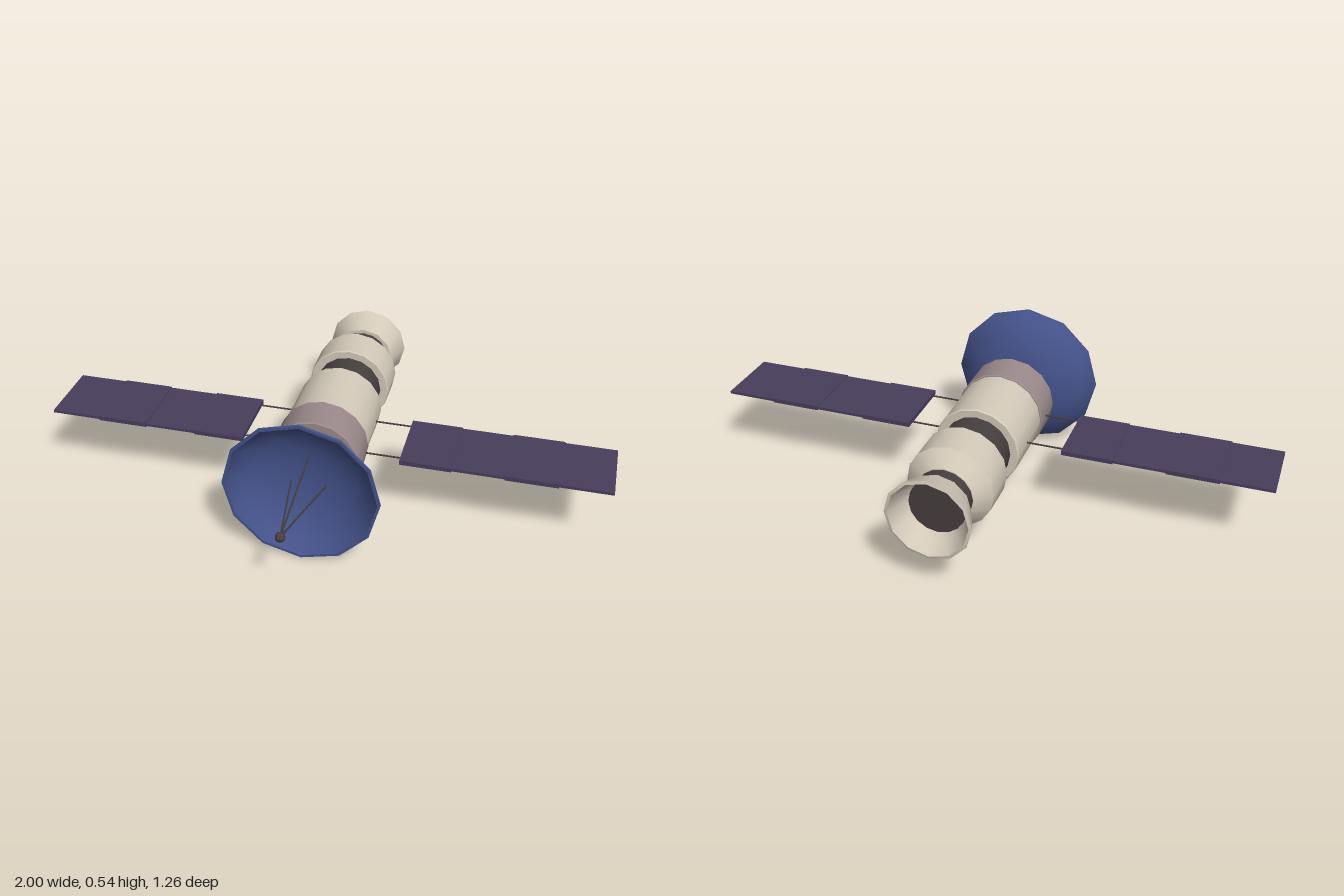
import * as THREE from 'three';
import { toCreasedNormals } from 'three/addons/utils/BufferGeometryUtils.js';

const AXIS_Y = 0.275;

function mat(name, color) {
  const m = new THREE.MeshStandardMaterial({ color });
  m.name = name;
  return m;
}

export function createModel() {
  const model = new THREE.Group();
  model.name = 'spacecraft';
  const cream = mat('cream hull', 0xd2c9b8);
  const mauve = mat('mauve band', 0x9a898a);
  const dark = mat('dark metal', 0x453f3e);
  const blue = mat('blue dish', 0x44528a);
  const violet = mat('violet solar cell', 0x473d5c);

  const add = (name, geometry, material, parent = model) => {
    const mesh = new THREE.Mesh(geometry, material);
    mesh.name = name;
    parent.add(mesh);
    return mesh;
  };

  // Turned part along z; profile is [radius, z], running forward on the outside
  const turned = (name, profile, material, sides = 16) => {
    const points = profile.map(([r, z]) => new THREE.Vector2(r, z));
    const geometry = new THREE.LatheGeometry(points, sides).rotateX(Math.PI / 2);
    add(name, toCreasedNormals(geometry, 0.6), material).position.y = AXIS_Y;
  };

  // Thin straight rod between two points
  const rod = (name, a, b, radius, parent = model) => {
    const dir = b.clone().sub(a);
    const mesh = add(name, new THREE.CylinderGeometry(radius, radius, dir.length(), 6), dark, parent);
    mesh.position.copy(a).add(b).multiplyScalar(0.5);
    mesh.quaternion.setFromUnitVectors(new THREE.Vector3(0, 1, 0), dir.normalize());
  };

  // Hull, from the engine forward
  turned('engineNozzle', [[0.1, -0.54], [0.137, -0.631], [0.148, -0.628], [0.112, -0.536], [0, -0.536]], cream, 12);
  turned('engineNeck', [[0, -0.55], [0.097, -0.55], [0.097, -0.47], [0, -0.47]], dark);
  turned('rearModule', [[0, -0.482], [0.1, -0.482], [0.151, -0.432], [0.151, -0.302], [0.147, -0.298], [0, -0.298]], cream);
  turned('middleNeck', [[0, -0.31], [0.121, -0.31], [0.121, -0.17], [0, -0.17]], dark);
  turned('mainModule', [[0, -0.18], [0.147, -0.18], [0.151, -0.175], [0.151, 0.07], [0, 0.07]], cream);
  turned('frontBand', [[0, 0.066], [0.154, 0.066], [0.158, 0.07], [0.158, 0.198], [0.154, 0.202], [0, 0.202]], mauve);
  turned('frontCollar', [[0, 0.195], [0.12, 0.195], [0.112, 0.238], [0, 0.238]], dark);
  turned('dishMount', [[0, 0.23], [0.07, 0.23], [0.04, 0.28], [0, 0.28]], dark);

  // Antenna dish: a hollow shell with a narrow rim
  turned('antennaDish', [
    [0, 0.272], [0.05, 0.274], [0.115, 0.281], [0.18, 0.304], [0.235, 0.34], [0.27, 0.383],
    [0.27, 0.393], [0.26, 0.393],
    [0.226, 0.346], [0.174, 0.312], [0.11, 0.29], [0.05, 0.282], [0, 0.28],
  ], blue, 12);

  // Feed tripod
  const tip = new THREE.Vector3(0, AXIS_Y, 0.617);
  add('feedBall', new THREE.SphereGeometry(0.017, 12, 8), dark).position.copy(tip);
  for (let i = 0; i < 3; i++) {
    const a = Math.PI / 2 + i * Math.PI * 2 / 3;
    rod('feedStrut', new THREE.Vector3(0.07 * Math.cos(a), AXIS_Y + 0.07 * Math.sin(a), 0.284), tip, 0.003);
  }

  // Solar wings: four panels each, alternately thick and thin
  for (const side of [1, -1]) {
    const wing = new THREE.Group();
    wing.name = side > 0 ? 'leftSolarWing' : 'rightSolarWing';
    model.add(wing);
    for (let i = 0; i < 4; i++) {
      const thick = i % 2 === 0;
      const panel = add('solarPanel', new THREE.BoxGeometry(0.18, thick ? 0.016 : 0.01, thick ? 0.254 : 0.25), violet, wing);
      panel.position.set(side * (0.37 + i * 0.18), AXIS_Y, 0.012);
    }
    for (const z of [-0.088, 0.11]) {
      rod('wingStrut', new THREE.Vector3(side * 0.13, AXIS_Y, z), new THREE.Vector3(side * 0.29, AXIS_Y, z), 0.003, wing);
    }
  }
  return model;
}
